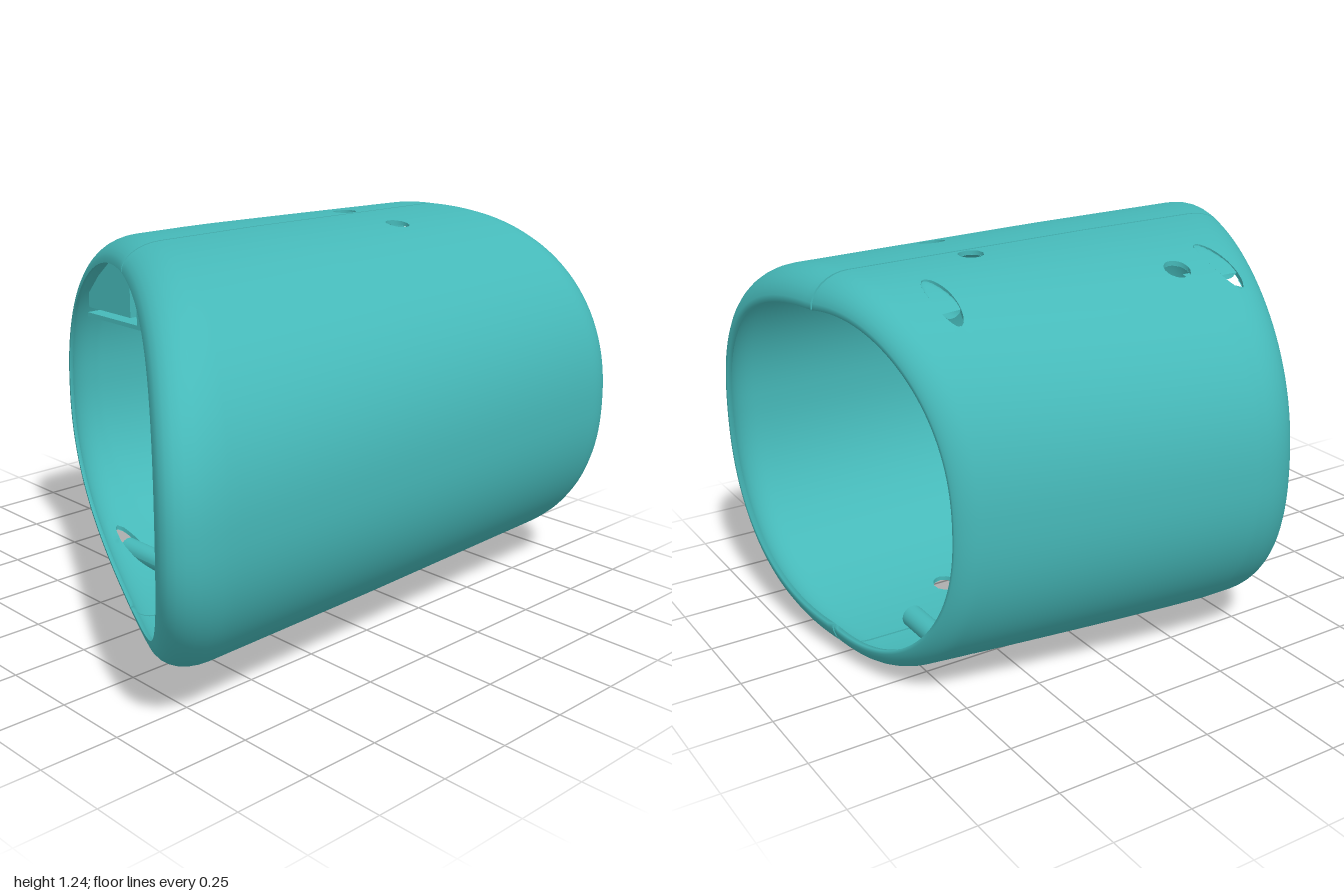
import * as THREE from 'three';

const SEAM = -0.015, GAP = 0.004, MID = 0.62, N = 2.25, SKIN = 0.014;
const COLS = 110, WALL = 80, RIM = 8;
const material = new THREE.MeshStandardMaterial({ color: 0x46b9b9, side: THREE.DoubleSide });

// Slanted, bowed ends and tapering oval section
const frontZ = x => 0.56 + 0.527 * x + 0.16 * x * x;
const backZ = x => -0.95 - 0.158 * x + 0.125 * x * x;
const halfWidth = (side, z) => side > 0
  ? 0.745 + 0.042 * Math.min(z, 0.8) - SEAM
  : 0.78 - 0.14 * Math.max(0, 0.1 - z) - 0.06 * Math.max(0, 0.1 - z) ** 2 + SEAM;
const halfHeight = z => 0.62 - 0.012 * Math.max(0, -z);

function surfaceY(x, z, inset, sign) {
  const side = x < SEAM ? -1 : 1;
  const k = Math.min(1, Math.max(0, (Math.abs(x - SEAM) - GAP) / (halfWidth(side, z) - inset)));
  return MID + sign * (halfHeight(z) - inset) * (1 - k ** N) ** (1 / N);
}

// Round holes, and slots where the bolt bores surface
const holes = [
  { x: -0.065, z: -0.45, rx: 0.04, rz: 0.04 },
  { x: 0.18, z: -0.45, rx: 0.04, rz: 0.04 },
  { x: -0.39, z: 0.075, rx: 0.042, rz: 0.042 },
  { x: -0.295, z: -0.675, rx: 0.105, rz: 0.035, slot: true },
  { x: -0.395, z: 0.23, rx: 0.115, rz: 0.035, slot: true },
];

// One skin from front lip to back lip; both ends curl inwards
function skinRows(inset) {
  const rows = [];
  for (let i = 0; i <= RIM; i++) rows.push({ inset, t: 0, angle: (1 - i / RIM) * Math.PI / 2, end: 1 });
  for (let j = 1; j < WALL; j++) rows.push({ inset, t: j / WALL, angle: 0, end: 0 });
  for (let i = 0; i <= RIM; i++) rows.push({ inset, t: 1, angle: i / RIM * Math.PI / 2, end: -1 });
  return rows;
}

function wallPoint(row, side, u) {
  const c = Math.max(0, Math.cos(u)) ** (2 / N);
  const s = Math.sign(u) * Math.abs(Math.sin(u)) ** (2 / N);
  const frontL = side > 0 ? 0.15 + 0.07 * c : 0.15 - 0.04 * c;
  const backL = side > 0 ? 0.12 : 0.12 - 0.07 * c;
  const frontD = 0.077 + (side > 0 ? 0.053 : -0.007) * c;
  const backD = side > 0 ? 0.1 : 0.1 - 0.07 * c;
  const D = row.end > 0 ? frontD : backD;
  const d = row.end ? D - (D - row.inset) * Math.cos(row.angle) : row.inset;
  const lift = Math.sin(row.angle);
  let z = 0, x = 0;
  for (let k = 0; k < 8; k++) {
    x = SEAM + side * (GAP + (halfWidth(side, z) - d) * c);
    z = THREE.MathUtils.lerp(frontZ(x) - frontL, backZ(x) + backL, row.t);
    if (row.end > 0) z += (frontL - row.inset) * lift;
    if (row.end < 0) z -= (backL - row.inset) * lift;
  }
  return { x, y: MID + s * (halfHeight(z) - d), z, d };
}

function shellHalf(side) {
  const outer = skinRows(0), inner = skinRows(SKIN);
  const rows = [...outer, ...inner.slice().reverse(), outer[0]];
  const pos = [], idx = [], cut = [];
  for (const row of rows) {
    for (let i = 0; i <= COLS; i++) {
      const u = (i / COLS - 0.5) * Math.PI;
      const p = wallPoint(row, side, u);
      let hit = -1;
      // Vertices inside a hole are moved onto its rim
      holes.forEach((h, k) => {
        const qx = (p.x - h.x) / h.rx, qz = (p.z - h.z) / h.rz, r = Math.hypot(qx, qz);
        if (r > 1.2 || r < 1e-6 || i === 0 || i === COLS || (h.x < SEAM) !== (side < 0)) return;
        hit = k;
        p.x = h.x + qx / r * h.rx;
        p.z = h.z + qz / r * h.rz;
        p.y = surfaceY(p.x, p.z, p.d, Math.sign(u));
      });
      pos.push(p.x, p.y, p.z);
      cut.push(hit);
    }
  }
  const tri = (a, b, c) => {
    if (cut[a] >= 0 && cut[a] === cut[b] && cut[b] === cut[c]) return;
    if (side > 0) idx.push(a, b, c); else idx.push(a, c, b);
  };
  const W = COLS + 1;
  for (let v = 0; v < rows.length - 1; v++) {
    for (let i = 0; i < COLS; i++) {
      const a = v * W + i, b = a + W;
      tri(a, b, a + 1);
      tri(a + 1, b, b + 1);
    }
  }
  const geo = new THREE.BufferGeometry();
  geo.setAttribute('position', new THREE.Float32BufferAttribute(pos, 3));
  geo.setIndex(idx);
  geo.computeVertexNormals();

  // Flat faces along the seam
  const capPos = [], capIdx = [];
  for (const u of [-Math.PI / 2, Math.PI / 2]) {
    const base = capPos.length / 3;
    outer.forEach((row, i) => {
      for (const r of [row, inner[i]]) {
        const p = wallPoint(r, side, u);
        capPos.push(p.x, p.y, p.z);
      }
      const a = base + i * 2;
      if (i === outer.length - 1) return;
      if ((u > 0) === (side > 0)) capIdx.push(a, a + 1, a + 2, a + 1, a + 3, a + 2);
      else capIdx.push(a, a + 2, a + 1, a + 1, a + 2, a + 3);
    });
  }
  const cap = new THREE.BufferGeometry();
  cap.setAttribute('position', new THREE.Float32BufferAttribute(capPos, 3));
  cap.setIndex(capIdx);
  cap.computeVertexNormals();

  const group = new THREE.Group();
  group.add(part('shellWall', geo), part('seamFace', cap));
  return group;
}

function part(name, geometry) {
  const mesh = new THREE.Mesh(geometry, material);
  mesh.name = name;
  return mesh;
}

// Edge of a hole, following both skins
function holeEdge(h, sign) {
  const geo = new THREE.CylinderGeometry(1, 1, 1, 24, 1, true);
  const p = geo.attributes.position;
  for (let i = 0; i < p.count; i++) {
    const x = h.x + p.getX(i) * h.rx, z = h.z + p.getZ(i) * h.rz;
    p.setXYZ(i, x, surfaceY(x, z, p.getY(i) > 0 ? 0 : SKIN, sign), z);
  }
  geo.computeVertexNormals();
  return part('holeEdge', geo);
}

// Sideways bolt bore from a slot to the seam, kept below the outer skin
function boltBore(h, sign) {
  const x0 = h.x - 0.05, x1 = SEAM - GAP, r = 0.036;
  const geo = new THREE.CylinderGeometry(r, r, x1 - x0, 24, 24, true);
  geo.rotateZ(Math.PI / 2);
  geo.translate((x0 + x1) / 2, MID + sign * 0.555, h.z);
  const p = geo.attributes.position;
  for (let i = 0; i < p.count; i++) {
    const limit = surfaceY(p.getX(i), p.getZ(i), 0.004, sign);
    if (sign * (p.getY(i) - limit) > 0) p.setY(i, limit);
  }
  geo.computeVertexNormals();
  return part('boltBore', geo);
}

// Flat outline in x and y, given depth along z
function plate(name, outline, z0, z1) {
  const shape = new THREE.Shape(outline.map(([x, y]) => new THREE.Vector2(x, y)));
  const geo = new THREE.ExtrudeGeometry(shape, { depth: z1 - z0, bevelEnabled: false });
  geo.translate(0, 0, z0);
  return part(name, geo);
}

export function createModel() {
  const model = new THREE.Group();
  model.name = 'splitSleeve';
  for (const side of [-1, 1]) {
    const half = shellHalf(side);
    half.name = side > 0 ? 'leftShell' : 'rightShell';
    model.add(half);
  }
  for (const sign of [-1, 1]) {
    for (const h of holes) {
      model.add(holeEdge(h, sign));
      if (h.slot) model.add(boltBore(h, sign));
    }
  }

  // Inner bracket: a block framed by an angled plate
  const bracket = new THREE.Group();
  bracket.name = 'innerBracket';
  bracket.add(
    plate('bracketFrame', [[-0.67, 0.865], [-0.355, 0.865], [-0.355, 1.15], [-0.39, 1.14],
      [-0.39, 0.88], [-0.67, 0.88]], 0.125, 0.21),
    plate('bracketBlock', [[-0.66, 0.9], [-0.425, 0.9], [-0.425, 1.13], [-0.52, 1.09],
      [-0.6, 1.02], [-0.66, 0.95]], 0.125, 0.21),
  );
  model.add(bracket);
  return model;
}
